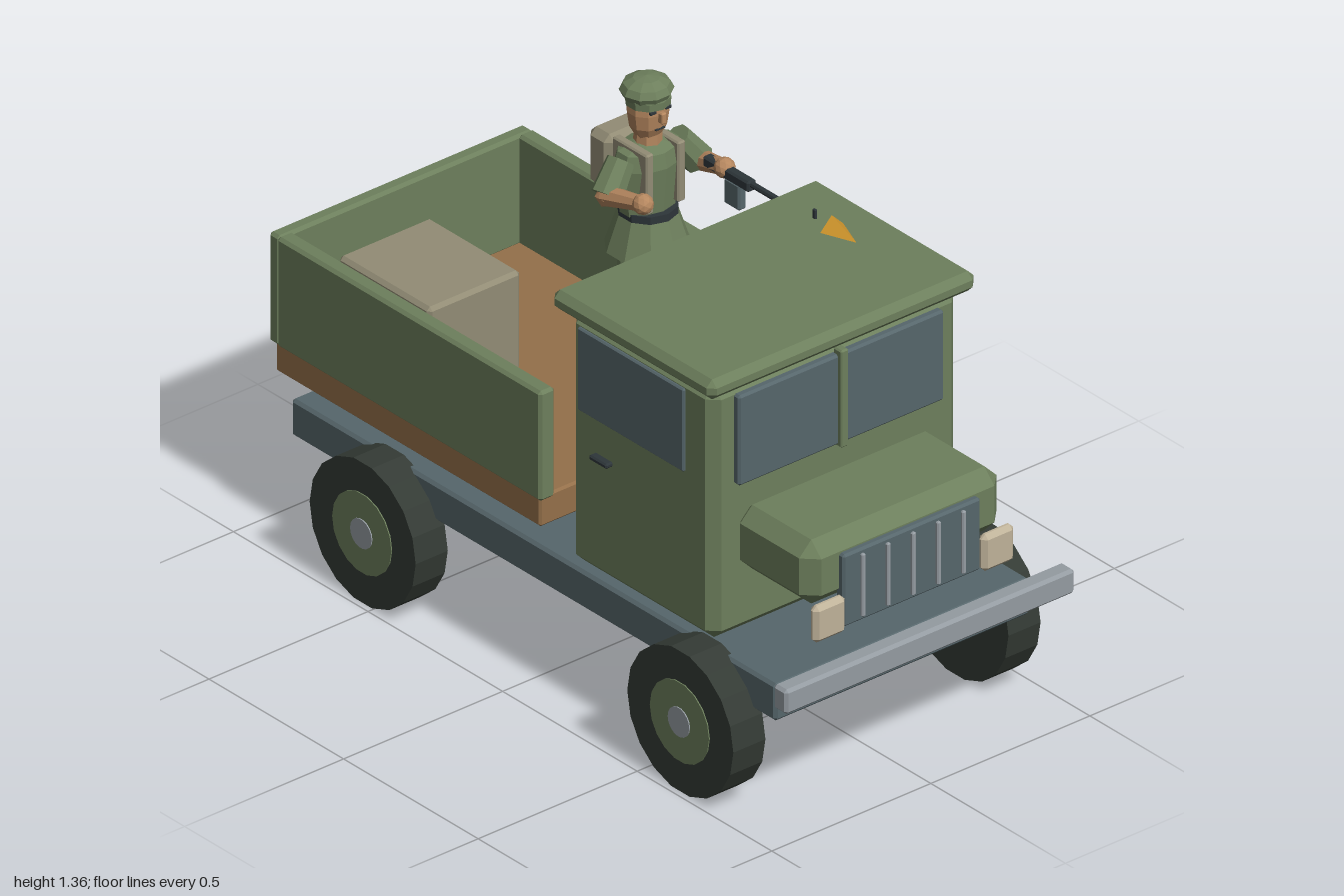
import * as THREE from 'three';
import { ConvexGeometry } from 'three/addons/geometries/ConvexGeometry.js';

const paint = (name, color) => {
  const m = new THREE.MeshStandardMaterial({ color });
  m.name = name;
  m.flatShading = true;
  return m;
};

export function createModel() {
  const M = {
    green: paint('olive green', 0x6d7f5c),
    slate: paint('slate blue', 0x56666b),
    wood: paint('brown wood', 0x94704a),
    tyre: paint('tyre black', 0x343b35),
    metal: paint('grey metal', 0x949ba1),
    cream: paint('cream lamp', 0xbfb299),
    canvas: paint('khaki canvas', 0x928c75),
    skin: paint('skin', 0xb5875f),
    amber: paint('amber', 0xd0962c),
    dark: paint('dark gunmetal', 0x2e363a),
  };
  const model = new THREE.Group();
  model.name = 'armyTruck';
  const group = (name) => {
    const g = new THREE.Group();
    g.name = name;
    model.add(g);
    return g;
  };
  const add = (parent, name, geo, mat, x = 0, y = 0, z = 0) => {
    const m = new THREE.Mesh(geo, mat);
    m.name = name;
    m.position.set(x, y, z);
    parent.add(m);
    return m;
  };

  // Box given by its limits on each axis, with chamfered edges
  const box = (parent, name, mat, [x0, x1], [y0, y1], [z0, z1], c = 0.006) => {
    const h = [(x1 - x0) / 2, (y1 - y0) / 2, (z1 - z0) / 2];
    const pts = [];
    for (const sx of [-1, 1]) for (const sy of [-1, 1]) for (const sz of [-1, 1]) {
      for (let a = 0; a < 3; a++) {
        const e = h.map((v, i) => (i === a ? v : v - c));
        pts.push(new THREE.Vector3(sx * e[0], sy * e[1], sz * e[2]));
      }
    }
    return add(parent, name, new ConvexGeometry(pts), mat, (x0 + x1) / 2, (y0 + y1) / 2, (z0 + z1) / 2);
  };

  // Tapered limb between two points
  const limb = (parent, name, mat, a, b, ra, rb, sides = 8) => {
    const p = new THREE.Vector3(...a), q = new THREE.Vector3(...b);
    const d = q.clone().sub(p);
    const m = add(parent, name, new THREE.CylinderGeometry(rb, ra, d.length(), sides), mat);
    m.position.copy(p).add(q).multiplyScalar(0.5);
    m.quaternion.setFromUnitVectors(new THREE.Vector3(0, 1, 0), d.normalize());
    return m;
  };

  // Chassis and bumper
  const frame = group('frame');
  box(frame, 'chassis', M.slate, [-0.4, 0.4], [0.275, 0.378], [-0.905, 0.895], 0.008);
  box(frame, 'frontBumper', M.metal, [-0.455, 0.455], [0.36, 0.428], [0.95, 1], 0.008);

  // Wheels
  const wheels = group('wheels');
  for (const s of [-1, 1]) for (const z of [0.64, -0.54]) {
    const disc = (name, mat, r, x0, x1) =>
      add(wheels, name, new THREE.CylinderGeometry(r, r, x1 - x0, 18).rotateZ(Math.PI / 2), mat, s * (x0 + x1) / 2, 0.197, z);
    disc('tyre', M.tyre, 0.197, 0.382, 0.483);
    disc('wheelHub', M.green, 0.11, 0.4, 0.486);
    disc('hubCap', M.metal, 0.04, 0.4, 0.489);
  }

  // Cab
  const cab = group('cab');
  box(cab, 'cabBody', M.green, [-0.39, 0.39], [0.378, 1.075], [0.115, 0.65], 0.028);
  box(cab, 'roof', M.green, [-0.42, 0.42], [1.07, 1.125], [0.08, 0.68], 0.018);
  box(cab, 'windscreen', M.slate, [-0.323, 0.323], [0.8, 1.05], [0.645, 0.67]);
  box(cab, 'windscreenPost', M.green, [-0.012, 0.012], [0.795, 1.065], [0.65, 0.682], 0.004);
  for (const s of [-1, 1]) {
    const span = (a, b) => (s > 0 ? [a, b] : [-b, -a]);
    box(cab, 'sideWindow', M.slate, span(0.385, 0.398), [0.815, 1.045], [0.155, 0.55], 0.004);
    box(cab, 'doorHandle', M.dark, span(0.388, 0.412), [0.708, 0.722], [0.215, 0.28], 0.004);
    box(cab, 'headlamp', M.cream, span(0.215, 0.315), [0.478, 0.58], [0.915, 0.945], 0.012);
  }

  // Bonnet and grille
  box(cab, 'bonnet', M.green, [-0.31, 0.31], [0.55, 0.727], [0.62, 0.915], 0.038);
  box(cab, 'grille', M.slate, [-0.216, 0.216], [0.485, 0.685], [0.9, 0.932]);
  for (let i = -2; i <= 2; i++) {
    box(cab, 'grilleBar', M.metal, [i * 0.079 - 0.006, i * 0.079 + 0.006], [0.498, 0.672], [0.928, 0.94], 0.003);
  }

  // Cargo bed
  const bed = group('cargoBed');
  box(bed, 'bedFloor', M.wood, [-0.39, 0.39], [0.42, 0.505], [-0.975, 0.01]);
  for (const s of [-1, 1]) {
    box(bed, 'bedSide', M.green, s > 0 ? [0.355, 0.403] : [-0.403, -0.355], [0.5, 0.805], [-0.955, 0.025], 0.008);
  }
  box(bed, 'tailgate', M.green, [-0.4, 0.4], [0.5, 0.805], [-0.988, -0.948], 0.008);
  box(bed, 'rearPlate', M.metal, [-0.088, 0.088], [0.59, 0.7], [-0.997, -0.985], 0.003);
  box(bed, 'crate', M.canvas, [-0.32, -0.03], [0.5, 0.78], [-0.825, -0.485], 0.01);

  // Standing figure: legs and boots
  const man = group('soldier');
  const cx = 0.16, cz = -0.24;
  for (const s of [-1, 1]) {
    const x = cx + s * 0.05;
    limb(man, 'trouserLeg', M.green, [x, 0.65, cz], [x, 0.92, cz], 0.032, 0.038);
    limb(man, 'bootShaft', M.dark, [x, 0.52, cz], [x, 0.67, cz], 0.032, 0.037);
    box(man, 'bootFoot', M.dark, [x - 0.033, x + 0.033], [0.504, 0.55], [cz - 0.04, cz + 0.09], 0.012);
  }

  // Tunic, belt and straps
  add(man, 'tunicSkirt', new THREE.CylinderGeometry(0.075, 0.108, 0.1, 10), M.green, cx, 0.94, cz);
  add(man, 'belt', new THREE.CylinderGeometry(0.076, 0.076, 0.025, 10), M.dark, cx, 0.995, cz);
  const torso = new THREE.LatheGeometry(
    [[0, 0], [0.072, 0], [0.088, 0.13], [0.078, 0.17], [0.03, 0.185], [0, 0.185]].map((p) => new THREE.Vector2(...p)), 10);
  add(man, 'torso', torso, M.green, cx, 1, cz).scale.set(1.08, 1, 0.8);
  for (const s of [-1, 1]) {
    const x = cx + s * 0.05;
    box(man, 'packStrap', M.canvas, [x - 0.012, x + 0.012], [1.02, 1.186], [cz - 0.06, cz + 0.068], 0.004);
  }
  box(man, 'backpack', M.canvas, [0.087, 0.233], [1.025, 1.182], [-0.385, -0.3], 0.018);

  // Arms: right hand raised free, left hand on the gun
  for (const [sh, el, ha] of [
    [[0.075, 1.155, cz], [0.018, 1.085, -0.225], [0.03, 1.11, -0.105]],
    [[0.25, 1.155, cz], [0.305, 1.08, -0.225], [0.287, 1.115, -0.105]],
  ]) {
    limb(man, 'sleeve', M.green, sh, el, 0.036, 0.042);
    limb(man, 'forearm', M.skin, el, ha, 0.028, 0.02);
    add(man, 'elbow', new THREE.IcosahedronGeometry(0.03, 0), M.skin, ...el);
    add(man, 'hand', new THREE.IcosahedronGeometry(0.027, 1), M.skin, ...ha);
  }

  // Head, face and beret
  limb(man, 'neck', M.skin, [cx, 1.17, cz], [cx, 1.23, cz], 0.036, 0.034);
  const head = new THREE.LatheGeometry(
    [[0, 0], [0.032, 0], [0.048, 0.03], [0.054, 0.07], [0.052, 0.11], [0, 0.125]].map((p) => new THREE.Vector2(...p)), 10);
  add(man, 'head', head, M.skin, cx, 1.2, cz).scale.set(1.03, 1, 0.95);
  box(man, 'nose', M.skin, [cx - 0.008, cx + 0.008], [1.25, 1.28], [cz + 0.04, cz + 0.062], 0.003);
  box(man, 'mouth', M.dark, [cx - 0.015, cx + 0.015], [1.229, 1.233], [cz + 0.042, cz + 0.048], 0.001);
  for (const s of [-1, 1]) {
    const x = cx + s * 0.024;
    box(man, 'eye', M.dark, [x - 0.009, x + 0.009], [1.279, 1.287], [cz + 0.042, cz + 0.05], 0.001);
  }
  add(man, 'beret', new THREE.SphereGeometry(1, 10, 6), M.green, cx, 1.322, cz - 0.005).scale.set(0.068, 0.036, 0.066);
  add(man, 'beretBand', new THREE.CylinderGeometry(0.058, 0.057, 0.02, 10), M.green, cx, 1.298, cz);

  // Gun resting across the roof edge, with muzzle flash
  const gun = group('gun');
  const gx = 0.285;
  limb(gun, 'barrel', M.dark, [gx, 1.115, -0.03], [gx, 1.115, 0.295], 0.008, 0.008);
  box(gun, 'receiver', M.dark, [gx - 0.014, gx + 0.014], [1.095, 1.125], [-0.17, 0], 0.005);
  box(gun, 'magazine', M.slate, [gx - 0.013, gx + 0.013], [1.028, 1.1], [-0.092, -0.035], 0.005);
  box(gun, 'frontSight', M.dark, [gx - 0.004, gx + 0.004], [1.115, 1.15], [0.226, 0.238], 0.002);
  add(gun, 'muzzleFlash', new THREE.ConeGeometry(0.043, 0.11, 4).rotateX(Math.PI / 2), M.amber, gx, 1.118, 0.35);

  return model;
}
